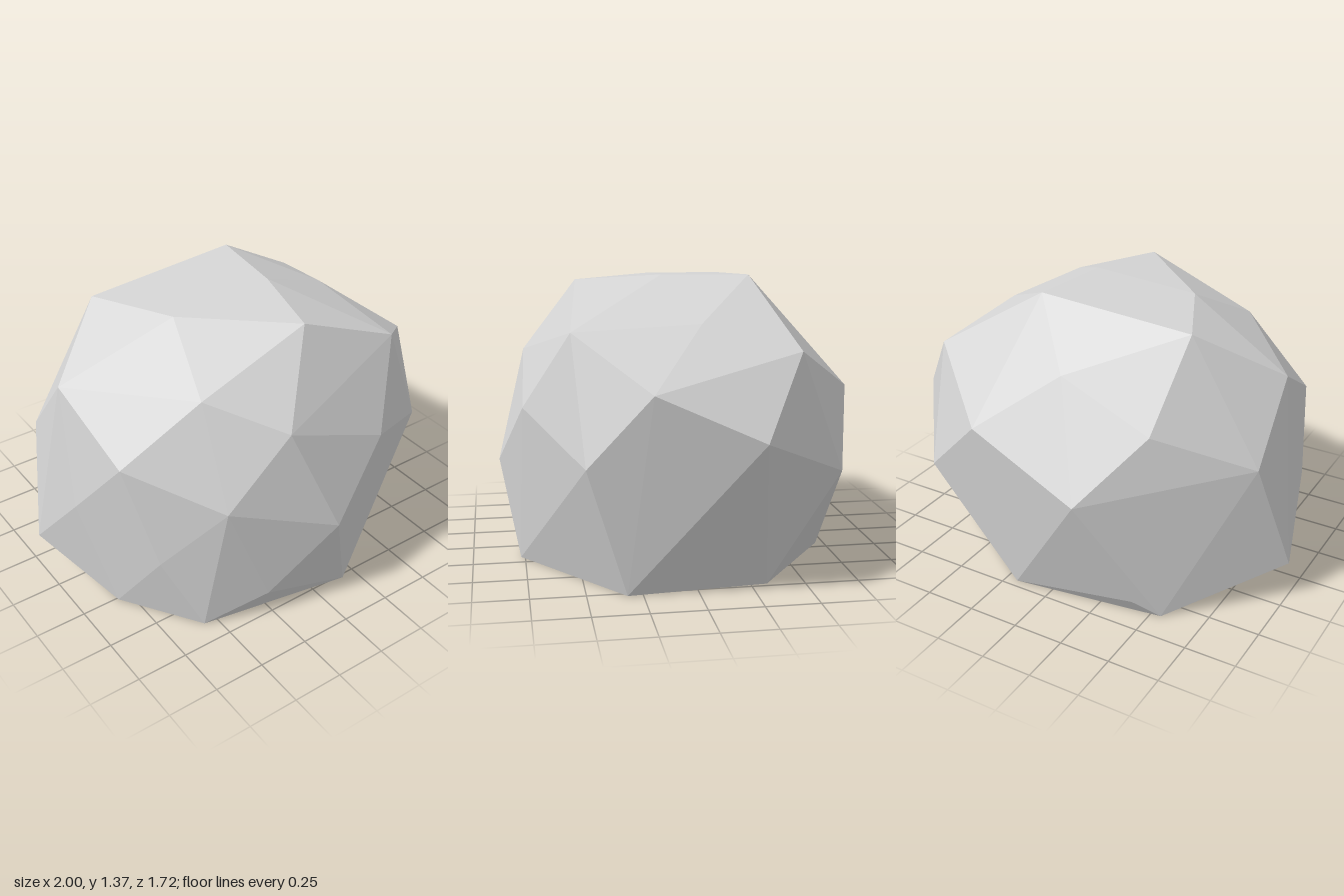
import * as THREE from 'three';
import { ConvexGeometry } from 'three/addons/geometries/ConvexGeometry.js';

// Corner rings of the boulder, each corner as [x, y, z]
const foot = [
  [0.78, 0.32], [0.175, 0.77], [-0.565, 0.635], [-0.815, 0.26],
  [-0.815, 0.005], [-0.55, -0.605], [0.19, -0.71], [0.725, -0.325],
].map(([x, z]) => [x, 0, z]);

const lowerRing = [
  [0.824, 0.59, 0.5], [0.04, 0.465, 0.86], [-0.28, 0.135, 0.755], [-0.72, 0.36, 0.51],
  [-0.925, 0.53, 0.11], [-1, 0.195, -0.175], [-0.43, 0.08, -0.67],
  [-0.235, 0.63, -0.86], [0.68, 0.505, -0.68], [1, 0.715, -0.255],
];

const upperRing = [
  [0.94, 0.925, 0.22], [0.365, 0.78, 0.75], [-0.155, 0.98, 0.725], [-0.475, 0.66, 0.7],
  [-0.82, 0.85, 0.365], [-0.877, 1.09, -0.05], [-0.88, 0.74, -0.33],
  [-0.48, 0.93, -0.61], [0.34, 0.84, -0.79], [0.73, 1.065, -0.47],
];

const crown = [
  [0.583, 1.15, 0.54], [0.096, 1.342, 0.48], [-0.455, 1.13, 0.47], [-0.34, 1.335, 0.08],
  [-0.53, 1.32, -0.325], [-0.02, 1.11, -0.59], [0.243, 1.366, -0.33],
  [0.19, 1.367, 0.08], [0.61, 1.18, -0.04],
];

export function createModel() {
  const group = new THREE.Group();
  group.name = 'rock';

  const stone = new THREE.MeshStandardMaterial({ color: 0xd5d5d5 });
  stone.name = 'pale stone grey';

  // Faceted boulder wrapped around the rings; its faces stay flat
  const corners = [...foot, ...lowerRing, ...upperRing, ...crown]
    .map((p) => new THREE.Vector3(...p));
  const boulder = new THREE.Mesh(new ConvexGeometry(corners), stone);
  boulder.name = 'boulder';
  group.add(boulder);

  return group;
}
